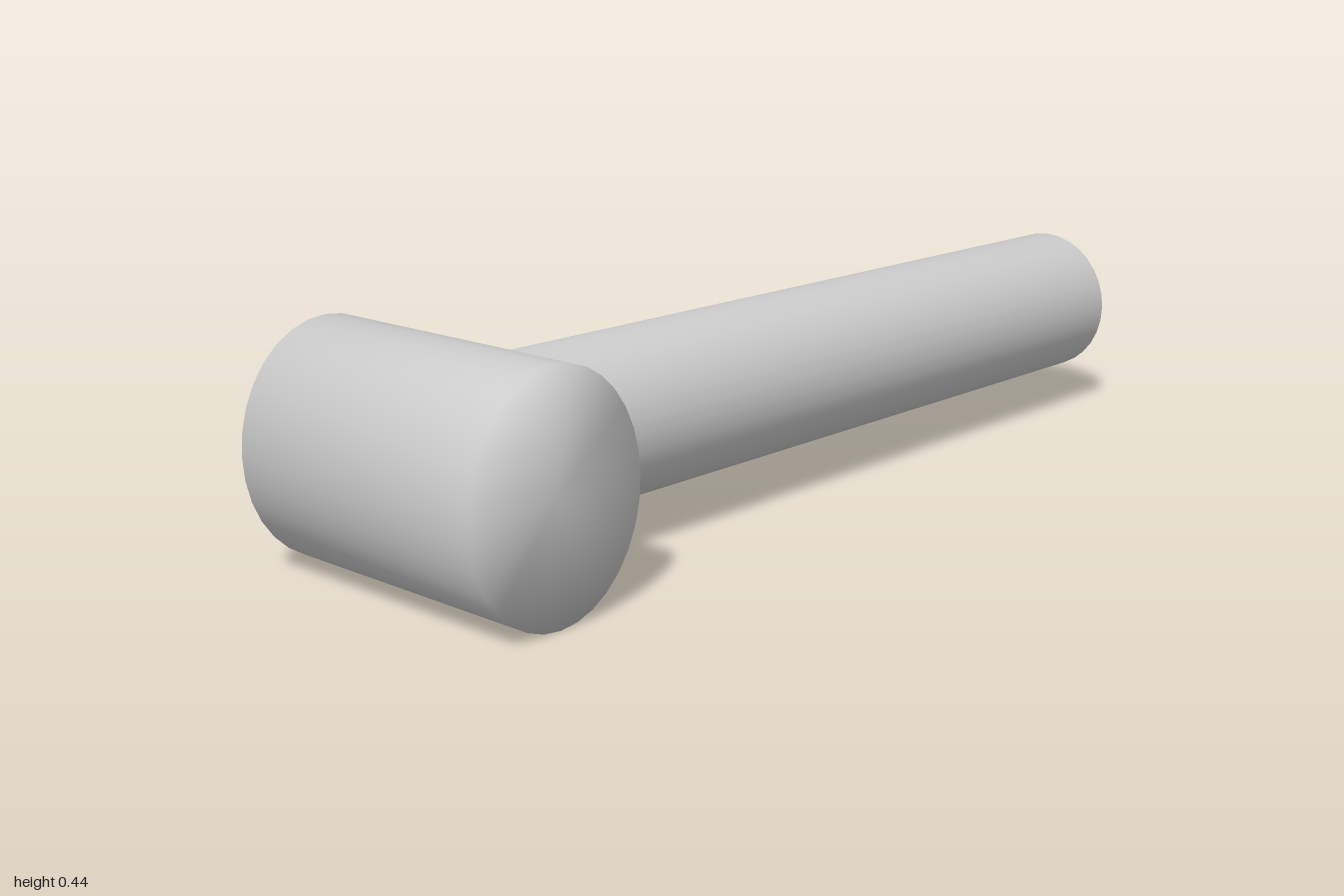
import * as THREE from 'three';
import { mergeVertices } from 'three/addons/utils/BufferGeometryUtils.js';

const material = new THREE.MeshStandardMaterial({ color: 0xcccccc });

// Closed cylinder whose normals are blended across the rim as well
function softCylinder(radius, length) {
  const geometry = new THREE.CylinderGeometry(radius, radius, length, 32);
  geometry.deleteAttribute('normal');
  geometry.deleteAttribute('uv');
  const merged = mergeVertices(geometry, 1e-5);
  merged.computeVertexNormals();
  return merged;
}

function addPart(group, name, geometry, x, y, z) {
  geometry.computeVertexNormals();
  const mesh = new THREE.Mesh(geometry, material);
  mesh.name = name;
  mesh.position.set(x, y, z);
  group.add(mesh);
}

export function createModel() {
  const group = new THREE.Group();
  group.name = 'mallet';

  // Head: oval cylinder lying along z
  const head = softCylinder(1, 0.578).rotateX(Math.PI / 2).scale(0.184, 0.2175, 1);
  addPart(group, 'head', head, -0.816, 0.2175, 0);

  // Handle: round bar along x, its inner end buried in the head
  const handle = softCylinder(0.154, 1.8).rotateZ(-Math.PI / 2);
  addPart(group, 'handle', handle, 0.1, 0.226, -0.002);

  return group;
}
